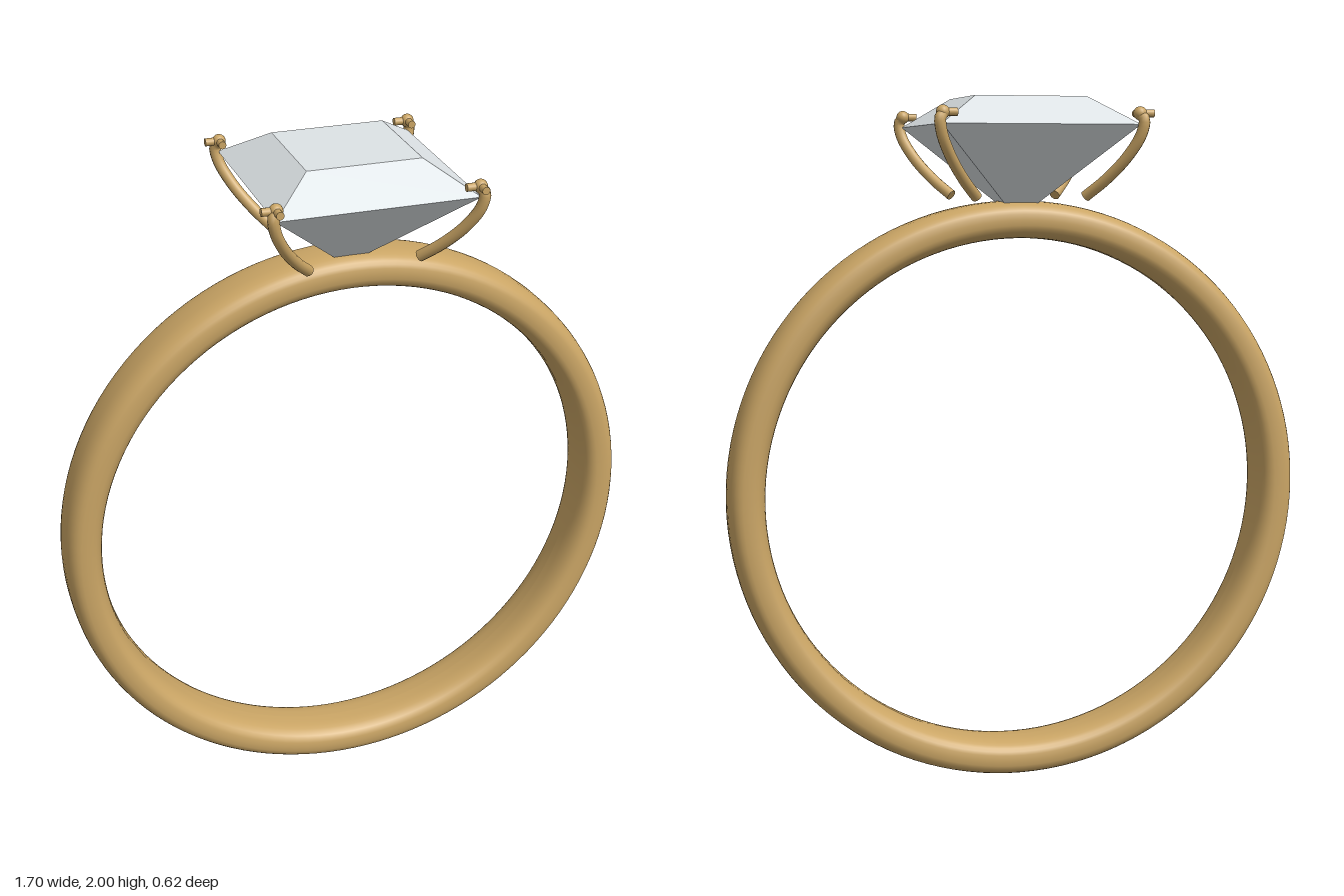
import * as THREE from 'three';

const CENTRE_Z = -0.006;

export function createModel() {
  const model = new THREE.Group();
  const gold = new THREE.MeshStandardMaterial({ color: 0xcaa565 });
  const clear = new THREE.MeshStandardMaterial({ color: 0xdde3e6, flatShading: true });

  const add = (parent, name, geometry, material) => {
    const mesh = new THREE.Mesh(geometry, material);
    mesh.name = name;
    parent.add(mesh);
    return mesh;
  };

  // Band: a soft-cornered section swept round the finger axis
  const section = [];
  const soften = (v) => Math.sign(v) * Math.pow(Math.abs(v), 0.75);
  for (let i = 0; i <= 32; i++) {
    const t = Math.PI + (i / 32) * Math.PI * 2;
    section.push(new THREE.Vector2(0.798 + 0.054 * soften(Math.cos(t)), 0.09 * soften(Math.sin(t))));
  }
  const band = add(model, 'band', new THREE.LatheGeometry(section, 128).rotateX(Math.PI / 2), gold);
  band.position.set(0, 0.857, CENTRE_Z);

  // Gem: four-sided cut with flat table, sloped crown and pointed pavilion
  const diagonal = Math.SQRT2;
  const cut = [[0, 1.655], [0.281 * diagonal, 1.92], [0.16 * diagonal, 2], [0, 2]]
    .map(([r, y]) => new THREE.Vector2(r, y));
  const gemShape = new THREE.LatheGeometry(cut, 4, Math.PI / 4).toNonIndexed();
  gemShape.computeVertexNormals();
  add(model, 'gem', gemShape, clear).position.z = CENTRE_Z;

  // Claws: curved wires rising to the corners, each capped by a bead and two stubs
  const claws = new THREE.Group();
  claws.name = 'claws';
  claws.position.z = CENTRE_Z;
  model.add(claws);
  const path = [[0.158, 1.722], [0.205, 1.77], [0.252, 1.833], [0.282, 1.895], [0.287, 1.935], [0.274, 1.95]];
  for (const sx of [-1, 1]) {
    for (const sz of [-1, 1]) {
      const claw = new THREE.Group();
      claw.name = 'claw';
      claws.add(claw);

      const curve = new THREE.CatmullRomCurve3(path.map(([d, y]) => new THREE.Vector3(sx * d, y, sz * d)));
      add(claw, 'clawWire', new THREE.TubeGeometry(curve, 28, 0.016, 12), gold);

      // Disc closing the lower end of the wire
      const foot = add(claw, 'clawFoot', new THREE.CircleGeometry(0.016, 12), gold);
      foot.position.copy(curve.getPoint(0));
      foot.lookAt(foot.position.clone().sub(curve.getTangent(0)));

      const bead = add(claw, 'clawBead', new THREE.SphereGeometry(0.019, 16, 12), gold);
      bead.position.set(sx * 0.278, 1.95, sz * 0.278);

      // Stubs point the same way on every claw: one sideways, one forwards
      const stubX = add(claw, 'sideStub', new THREE.CylinderGeometry(0.011, 0.011, 0.04, 12).rotateZ(Math.PI / 2), gold);
      stubX.position.set(sx * 0.278 - 0.02, 1.95, sz * 0.278);
      const stubZ = add(claw, 'frontStub', new THREE.CylinderGeometry(0.011, 0.011, 0.04, 12).rotateX(Math.PI / 2), gold);
      stubZ.position.set(sx * 0.278, 1.95, sz * 0.278 + 0.02);
    }
  }

  return model;
}
